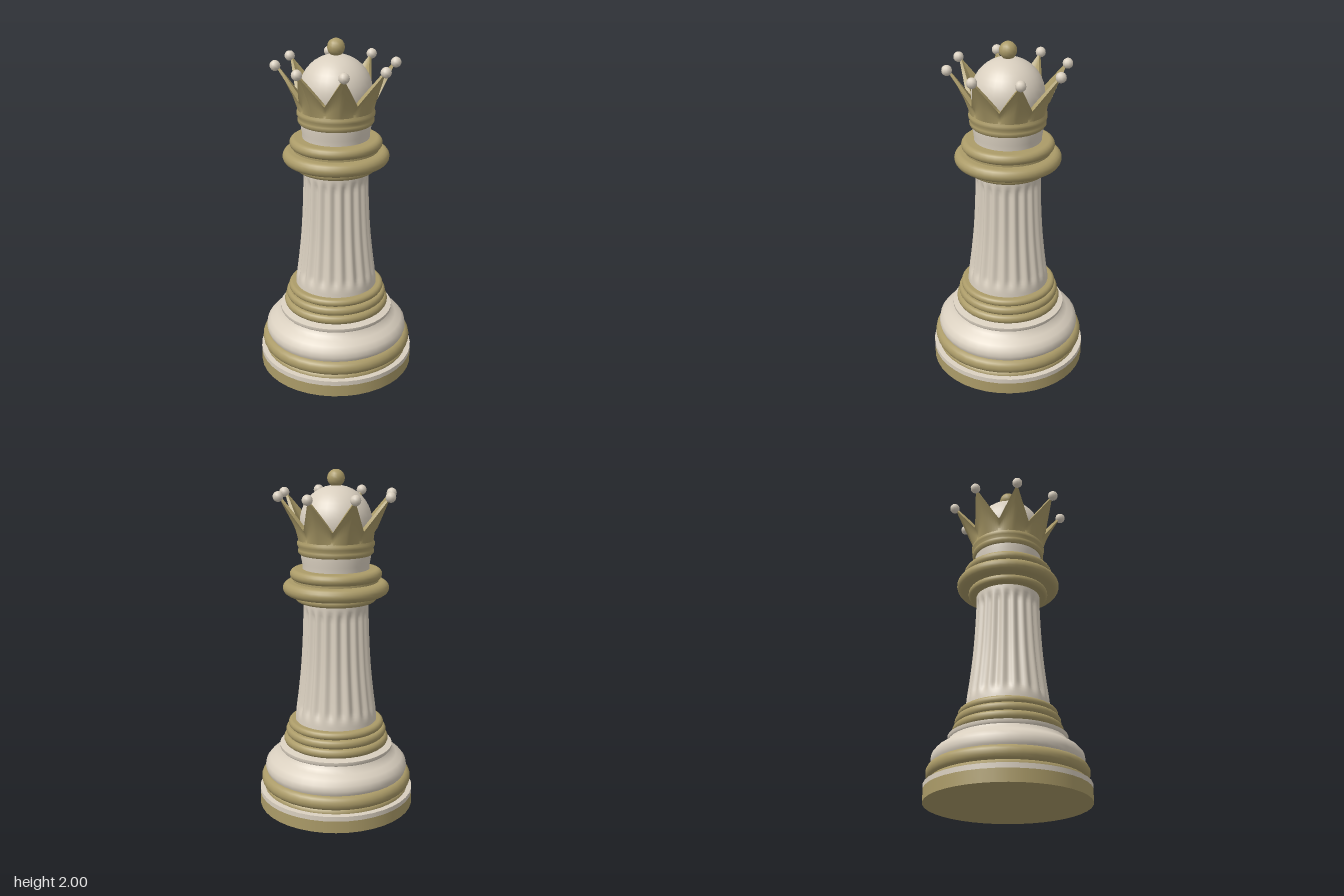
import * as THREE from 'three';

const ivory = new THREE.MeshStandardMaterial({ color: 0xd9cfbf });
ivory.name = 'ivory';
const gold = new THREE.MeshStandardMaterial({ color: 0xab9b68 });
gold.name = 'gold';

const SIDES = 40;

export function createModel() {
  const group = new THREE.Group();
  group.name = 'chessQueen';

  const add = (name, geometry, material, x = 0, y = 0, z = 0) => {
    const mesh = new THREE.Mesh(geometry, material);
    mesh.name = name;
    mesh.position.set(x, y, z);
    group.add(mesh);
    return mesh;
  };

  // Turned part: [radius, height] from bottom to top; a repeated point makes a hard edge
  const turn = (name, pts, material) =>
    add(name, new THREE.LatheGeometry(pts.map(p => new THREE.Vector2(...p)), SIDES), material);

  // Rounded ring with a bulging rim between two heights
  const ring = (name, inner, core, outer, y0, y1) => {
    const pts = [[inner, y0]];
    for (let i = 0; i <= 8; i++) {
      const a = -Math.PI / 2 + (Math.PI * i) / 8;
      pts.push([core + (outer - core) * Math.cos(a), (y0 + y1) / 2 + ((y1 - y0) / 2) * Math.sin(a)]);
    }
    pts.push([inner, y1]);
    turn(name, pts, gold);
  };

  // Base
  turn('baseFoot', [[0, 0], [0.463, 0], [0.463, 0], [0.463, 0.072]], gold);
  turn('baseStripe', [[0.463, 0.072], [0.463, 0.1], [0.463, 0.1], [0.43, 0.102]], ivory);
  turn('baseFillet', [[0.432, 0.1], [0.432, 0.125], [0.41, 0.128]], gold);
  ring('baseRing', 0.38, 0.415, 0.452, 0.122, 0.207);
  turn('baseBody', [[0.415, 0.2], [0.422, 0.215], [0.427, 0.235], [0.422, 0.265], [0.4, 0.292],
    [0.365, 0.312], [0.343, 0.33], [0.332, 0.35], [0.332, 0.35], [0.338, 0.358], [0.338, 0.374],
    [0.338, 0.374], [0.27, 0.386]], ivory);

  // Stacked rings under the column
  ring('lowerRing', 0.2, 0.288, 0.313, 0.383, 0.438);
  ring('middleRing', 0.2, 0.28, 0.3, 0.436, 0.487);
  ring('upperRing', 0.2, 0.262, 0.284, 0.485, 0.53);

  // Fluted column
  const radii = [[0.51, 0.243], [0.6, 0.236], [0.7, 0.223], [0.85, 0.207], [1.0, 0.197], [1.15, 0.191], [1.26, 0.189]];
  const shaft = new THREE.SplineCurve(radii.map(([y, r]) => new THREE.Vector2(r, y)));
  const columnGeo = new THREE.LatheGeometry(shaft.getPoints(36), 160);
  const pos = columnGeo.attributes.position;
  for (let i = 0; i < pos.count; i++) {
    const x = pos.getX(i), y = pos.getY(i), z = pos.getZ(i);
    const fade = THREE.MathUtils.smoothstep(y, 0.56, 0.63) * (1 - THREE.MathUtils.smoothstep(y, 1.17, 1.23));
    const wave = 0.5 + 0.5 * Math.cos(20 * Math.atan2(x, z));
    const k = 1 - (0.016 * fade * wave) / Math.hypot(x, z);
    pos.setXYZ(i, x * k, y, z * k);
  }
  columnGeo.computeVertexNormals();
  add('flutedColumn', columnGeo, ivory);

  // Collar and neck
  ring('collarLowerRing', 0.15, 0.215, 0.237, 1.25, 1.3);
  ring('collarMainRing', 0.15, 0.268, 0.307, 1.29, 1.368);
  turn('collarFillet', [[0.245, 1.36], [0.245, 1.385]], gold);
  ring('collarUpperRing', 0.15, 0.235, 0.266, 1.378, 1.44);
  turn('neck', [[0.192, 1.43], [0.194, 1.47], [0.2, 1.5], [0.2, 1.54]], ivory);

  // Crown band
  turn('crownBand', [[0.18, 1.523], [0.207, 1.523], [0.207, 1.523], [0.217, 1.535], [0.217, 1.55],
    [0.212, 1.56], [0.222, 1.575], [0.222, 1.592], [0.214, 1.605], [0.214, 1.62]], gold);

  // Crown points: one closed strip of cross-sections running from tip to valley and back
  const POINTS = 8, STEPS = 6, columns = POINTS * STEPS * 2;
  const verts = [], index = [];
  const step = Math.PI / POINTS;
  const tip = { r: 0.332, y: 1.852, thick: 0.016 }, valley = { r: 0.236, y: 1.672, thick: 0.03 };
  const ROWS = 9;
  for (let c = 0; c <= columns; c++) {
    const half = Math.floor(c / STEPS), u = (c % STEPS) / STEPS;
    const [p, q] = half % 2 ? [valley, tip] : [tip, valley];
    const a0 = half * step, a1 = a0 + step;
    const mix = THREE.MathUtils.lerp;
    // straight edge from tip to valley seen from above
    const x = mix(p.r * Math.sin(a0), q.r * Math.sin(a1), u);
    const z = mix(p.r * Math.cos(a0), q.r * Math.cos(a1), u);
    const top = mix(p.y, q.y, u), thick = mix(p.thick, q.thick, u);
    const angle = a0 + u * step, edgeR = Math.hypot(x, z), edgeA = a0 + Math.atan2(
      x * Math.cos(a0) - z * Math.sin(a0), x * Math.sin(a0) + z * Math.cos(a0));
    const put = (r, y, a) => verts.push(r * Math.sin(a), y, r * Math.cos(a));
    for (let j = 0; j < 4; j++) { // outer wall, going up
      const t = j / 3;
      put(mix(0.214, edgeR, t) - 0.012 * Math.sin(Math.PI * t), mix(1.6, top, t), mix(angle, edgeA, t));
    }
    put(edgeR, top, edgeA); // rim
    put(edgeR - thick, top, edgeA);
    for (let j = 0; j < 3; j++) { // inner wall, going down
      const t = 1 - j / 2;
      put(mix(0.19, edgeR - thick, t) - 0.01 * Math.sin(Math.PI * t), mix(1.61, top, t), mix(angle, edgeA, t));
    }
  }
  for (let c = 0; c < columns; c++) {
    for (let j = 0; j < ROWS - 1; j++) {
      if (j === 3 || j === 5) continue; // doubled rows keep the rim edges sharp
      const a = c * ROWS + j, b = a + ROWS;
      index.push(a, b, b + 1, a, b + 1, a + 1);
    }
  }
  // rim strip joins the outer and inner walls
  const crownGeo = new THREE.BufferGeometry();
  crownGeo.setAttribute('position', new THREE.Float32BufferAttribute(verts, 3));
  crownGeo.setIndex(index);
  crownGeo.computeVertexNormals();
  add('crownPoints', crownGeo, gold);

  // Ivory beads on the points
  const bead = new THREE.SphereGeometry(0.03, 10, 8);
  for (let i = 0; i < POINTS; i++) {
    const a = (i * Math.PI * 2) / POINTS;
    add('crownBead', bead, ivory, 0.336 * Math.sin(a), 1.857, 0.336 * Math.cos(a));
  }

  // Dome and finial
  add('dome', new THREE.SphereGeometry(0.206, 32, 20), ivory, 0, 1.706, 0);
  turn('finialStem', [[0.04, 1.895], [0.026, 1.912], [0.03, 1.93]], gold);
  add('finialBall', new THREE.SphereGeometry(0.05, 14, 10), gold, 0, 1.95, 0);

  return group;
}
